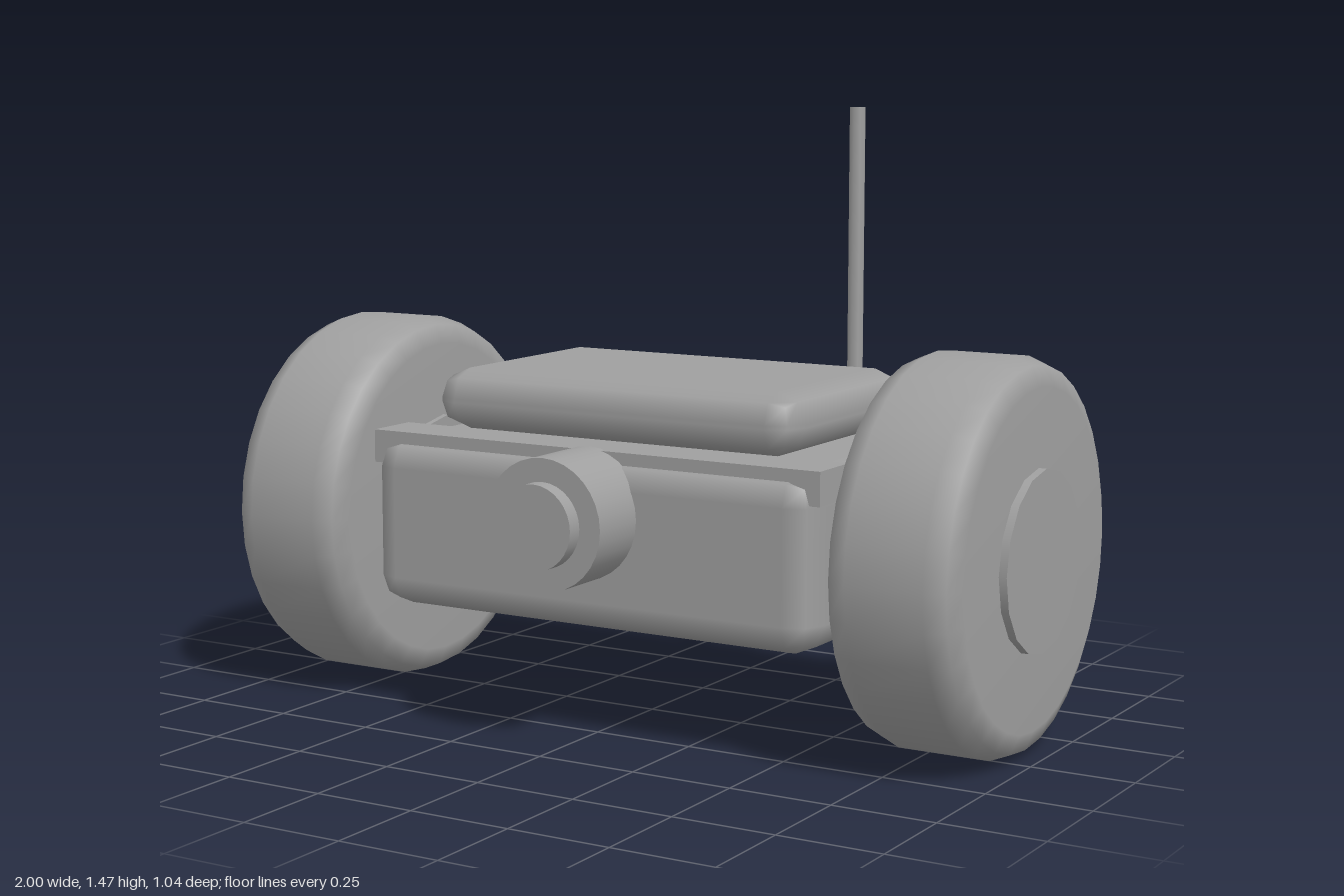
import * as THREE from 'three';
import { RoundedBoxGeometry } from 'three/addons/geometries/RoundedBoxGeometry.js';

export function createModel() {
  const model = new THREE.Group();
  model.name = 'twoWheeledRover';
  const grey = new THREE.MeshStandardMaterial({ color: 0xa0a0a0 });
  grey.name = 'plain grey';

  const add = (name, geometry, x, y, z) => {
    const mesh = new THREE.Mesh(geometry, grey);
    mesh.name = name;
    mesh.position.set(x, y, z);
    model.add(mesh);
    return mesh;
  };

  // Chassis, lid and the bar across the front edge
  add('body', new RoundedBoxGeometry(1.21, 0.416, 0.78, 1, 0.073), 0, 0.465, -0.061);
  add('lid', new RoundedBoxGeometry(0.995, 0.149, 0.636, 1, 0.07), 0, 0.76, -0.096);
  add('frontBar', new THREE.BoxGeometry(1.224, 0.08, 0.139), 0, 0.646, 0.2275);

  // Camera: barrel and lens pointing forward
  const forward = (r, length, sides) => new THREE.CylinderGeometry(r, r, length, sides).rotateX(Math.PI / 2);
  add('cameraBarrel', forward(0.155, 0.2, 32), 0, 0.537, 0.384);
  add('cameraLens', forward(0.1, 0.12, 32), 0, 0.537, 0.463);

  // Antenna at the rear left corner
  add('antenna', new THREE.CylinderGeometry(0.02, 0.02, 0.68, 8), 0.356, 1.126, -0.377);

  // Tyres with rounded shoulders, each with a hub showing on both sides
  const R = 0.463, half = 0.1605, bevel = 0.067;
  const shoulder = bevel * (1 - Math.SQRT1_2);
  const side = [[0, half], [R - bevel, half], [R - shoulder, half - shoulder], [R, half - bevel]];
  const profile = [
    ...side.map(([r, h]) => new THREE.Vector2(r, -h)),
    ...side.map(([r, h]) => new THREE.Vector2(r, h)).reverse(),
  ];
  const tyre = new THREE.LatheGeometry(profile, 32).rotateZ(Math.PI / 2);
  const hub = new THREE.CylinderGeometry(0.213, 0.213, 0.355, 16).rotateZ(Math.PI / 2);
  for (const [label, s] of [['left', 1], ['right', -1]]) {
    add(label + 'Wheel', tyre, s * 0.8205, R, -0.057);
    add(label + 'Hub', hub, s * 0.8225, R, -0.057);
  }
  return model;
}
